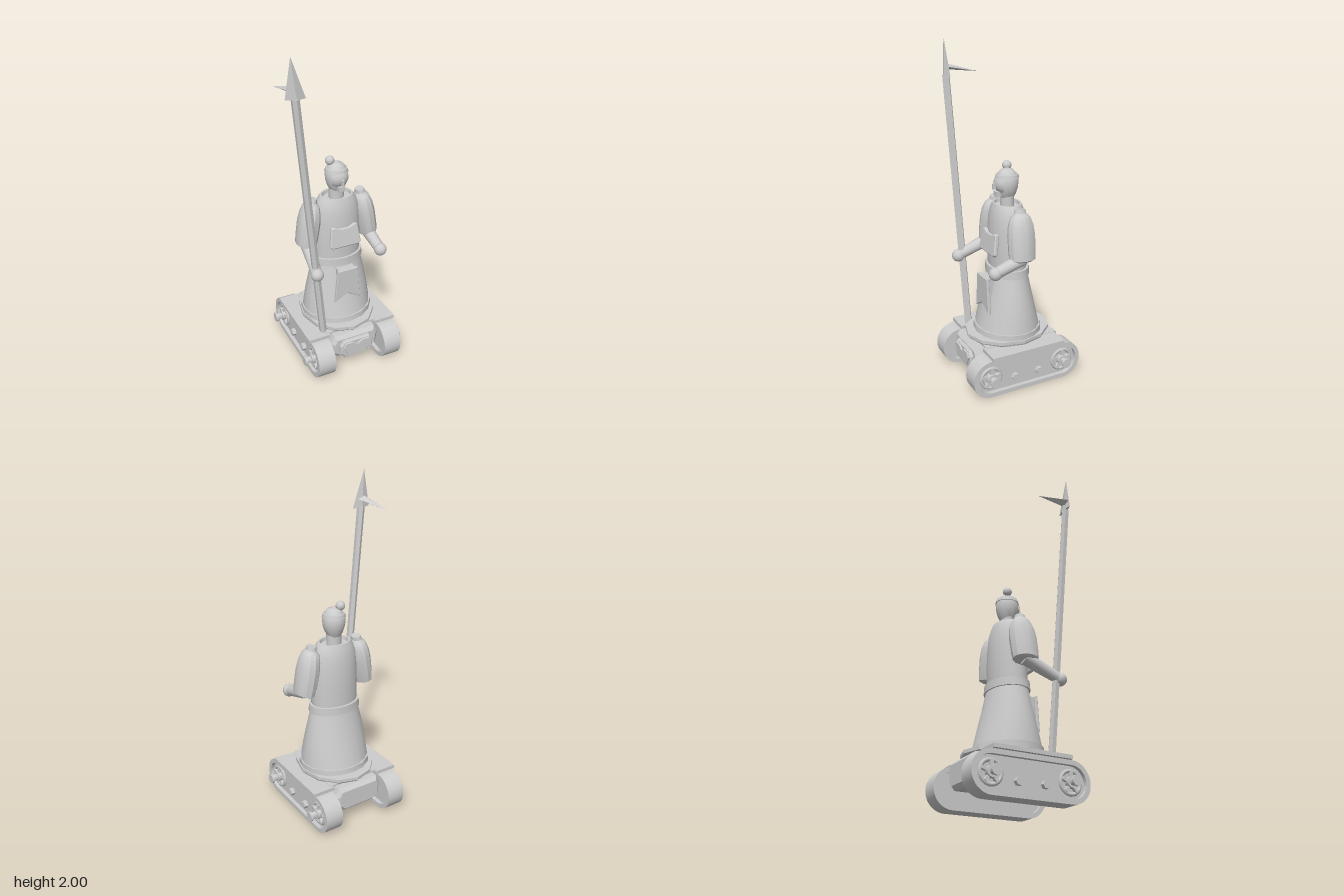
import * as THREE from 'three';
import { toCreasedNormals } from 'three/addons/utils/BufferGeometryUtils.js';

const CX = 0.03; // the figure's own centre line

export function createModel() {
  const stone = new THREE.MeshStandardMaterial({ color: 0xcccccc });
  stone.name = 'pale grey';
  const model = new THREE.Group();
  model.name = 'spearGuardOnTracks';
  const body = new THREE.Group();
  body.name = 'figure';
  body.position.x = CX;
  model.add(body);

  const add = (name, geo, x = 0, y = 0, z = 0, parent = body) => {
    const m = new THREE.Mesh(geo, stone);
    m.name = name;
    m.position.set(x, y, z);
    parent.add(m);
    return m;
  };

  // turned form with an elliptical section per row: [y, rx, rz]
  const loft = (rows, sides, crease = 0.6) => {
    const g = new THREE.LatheGeometry(rows.map(([y, rx]) => new THREE.Vector2(rx, y)), sides);
    const p = g.attributes.position;
    for (let i = 0; i < p.count; i++) {
      const [, rx, rz] = rows[i % rows.length];
      if (rx > 0) p.setZ(i, p.getZ(i) * rz / rx);
    }
    return toCreasedNormals(g, crease);
  };

  // flat outline with thickness, centred in depth
  const plate = (pts, depth, bevel = 0) => {
    const s = new THREE.Shape(pts.map(([x, y]) => new THREE.Vector2(x, y)));
    const g = new THREE.ExtrudeGeometry(s, {
      depth: depth - 2 * bevel, bevelEnabled: bevel > 0, bevelSize: bevel,
      bevelOffset: -bevel, bevelThickness: bevel, bevelSegments: 1,
    });
    return g.translate(0, 0, -depth / 2 + bevel);
  };

  // tapered rod between two points
  const rod = (name, a, b, ra, rb, sides, parent = body) => {
    const A = new THREE.Vector3(...a), B = new THREE.Vector3(...b);
    const dir = B.clone().sub(A);
    const g = toCreasedNormals(new THREE.CylinderGeometry(rb, ra, dir.length(), sides), sides > 8 ? 0.8 : 0.3);
    const m = add(name, g, 0, 0, 0, parent);
    m.position.copy(A).add(B).multiplyScalar(0.5);
    m.quaternion.setFromUnitVectors(new THREE.Vector3(0, 1, 0), dir.normalize());
    return m;
  };

  // rounded belt outline: two half circles joined by straights
  const stadium = (half, r, Type) => {
    const s = new Type();
    s.absarc(half, 0, r, -Math.PI / 2, Math.PI / 2, false);
    s.absarc(-half, 0, r, Math.PI / 2, Math.PI * 1.5, false);
    s.closePath();
    return s;
  };
  const sideways = (shape, depth) => toCreasedNormals(
    new THREE.ExtrudeGeometry(shape, { depth, bevelEnabled: false, curveSegments: 14 })
      .translate(0, 0, -depth / 2).rotateY(Math.PI / 2), 0.6);
  const axle = (r1, r2, len, sides) => toCreasedNormals(
    new THREE.CylinderGeometry(r1, r2, len, sides).rotateZ(Math.PI / 2), 0.6);

  // tracks with wheels, hubs and bolts
  const beltShape = stadium(0.237, 0.117, THREE.Shape);
  beltShape.holes.push(stadium(0.237, 0.09, THREE.Path));
  for (const s of [1, -1]) {
    const track = new THREE.Group();
    track.name = s > 0 ? 'leftTrack' : 'rightTrack';
    track.position.set(s * 0.2225, 0.117, 0);
    body.add(track);
    add('trackBelt', sideways(beltShape, 0.111), 0, 0, 0, track);
    add('trackSidePlate', sideways(stadium(0.237, 0.092, THREE.Shape), 0.062), 0, 0, 0, track);
    for (const z of [0.237, -0.237]) {
      add('wheelRim', new THREE.TorusGeometry(0.062, 0.011, 6, 24).rotateY(Math.PI / 2), s * 0.036, 0, z, track);
      for (let i = 0; i < 5; i++) {
        const spoke = add('wheelSpoke', new THREE.BoxGeometry(0.03, 0.06, 0.018).translate(0, 0.03, 0), s * 0.036, 0, z, track);
        spoke.rotation.x = i * Math.PI * 0.4;
      }
      add('wheelHub', axle(0.032, 0.032, 0.04, 12), s * 0.042, 0, z, track);
      add('axle', axle(0.02, 0.02, 0.07, 12), s * 0.065, 0, z, track);
      add('axleCap', axle(0.03, 0.03, 0.013, 12), s * 0.099, 0, z, track);
    }
    for (const z of [0.08, -0.08])
      add('bolt', axle(0.023, 0.023, 0.028, 6), s * 0.042, -0.03, z, track);
    add('trackGuard', new THREE.BoxGeometry(0.14, 0.022, 0.474), s * 0.222, 0.247, 0);
  }

  // chassis and its front panel
  const octagon = [[-0.11, 0.09], [0.11, 0.09], [0.15, 0.125], [0.16, 0.2], [0.135, 0.25], [-0.135, 0.25], [-0.16, 0.2], [-0.15, 0.125]];
  add('chassis', plate(octagon, 0.56, 0.022));
  add('chassisDeck', new THREE.BoxGeometry(0.34, 0.03, 0.44), 0, 0.246, 0);
  add('frontPanel', plate([[-0.08, 0.1], [0.08, 0.1], [0.11, 0.135], [0.11, 0.19], [0.085, 0.222], [-0.085, 0.222], [-0.11, 0.19], [-0.11, 0.135]], 0.03, 0.008), 0, 0, 0.285);
  add('frontCrest', plate([[-0.065, 0.12], [0.065, 0.12], [0.095, 0.18], [0.08, 0.21], [0.035, 0.21], [0, 0.19], [-0.035, 0.21], [-0.08, 0.21], [-0.095, 0.18]], 0.014, 0.003), 0, 0, 0.302);

  // round base, skirt and belt
  add('basePlate', loft([[0.255, 0, 0], [0.255, 0.225, 0.25], [0.268, 0.23, 0.263], [0.287, 0.23, 0.263], [0.287, 0, 0]], 12, 0.3));
  add('skirtHem', loft([[0.28, 0.222, 0.205], [0.32, 0.222, 0.2], [0.32, 0.2, 0.17]], 16));
  add('skirt', loft([[0.28, 0.217, 0.2], [0.36, 0.21, 0.18], [0.46, 0.196, 0.156], [0.56, 0.176, 0.132], [0.66, 0.152, 0.112]], 20, 0.8));
  add('belt', loft([[0.652, 0.14, 0.1], [0.652, 0.165, 0.122], [0.7, 0.162, 0.12], [0.7, 0.13, 0.095]], 20));

  // torso with raised collar
  add('torso', loft([[0.69, 0.148, 0.105], [0.8, 0.15, 0.108], [0.92, 0.146, 0.106], [1.0, 0.138, 0.1], [1.05, 0.122, 0.09], [1.08, 0.102, 0.08], [1.08, 0.09, 0.07], [1.06, 0.086, 0.066], [1.06, 0, 0]], 20, 0.7));

  // armour plates
  const chest = add('chestPlate', plate([[-0.085, -0.067], [0.085, -0.067], [0.1, -0.052], [0.085, 0.062], [0.065, 0.067], [0.03, 0.052], [-0.03, 0.052], [-0.065, 0.067], [-0.085, 0.062], [-0.1, -0.052]], 0.026, 0.006), 0, 0.853, 0.114);
  chest.rotation.x = -0.17;
  add('apronPlate', plate([[-0.085, 0.425], [-0.05, 0.445], [0, 0.475], [0.05, 0.445], [0.085, 0.425], [0.066, 0.645], [-0.066, 0.645]], 0.02, 0.004), 0, 0, 0.157);
  add('apronBacking', new THREE.BoxGeometry(0.11, 0.2, 0.05), 0, 0.54, 0.13);

  // neck, head, face and hair
  add('neck', loft([[1.05, 0.046, 0.04], [1.14, 0.046, 0.04]], 16));
  add('head', loft([[1.115, 0, 0], [1.115, 0.04, 0.042], [1.14, 0.054, 0.055], [1.175, 0.065, 0.065], [1.21, 0.068, 0.069], [1.245, 0.06, 0.061], [1.275, 0.036, 0.037], [1.287, 0, 0]], 18, 0.9));
  add('headband', loft([[1.228, 0.062, 0.063], [1.228, 0.07, 0.071], [1.25, 0.064, 0.065], [1.25, 0.056, 0.057]], 18));
  const face = toCreasedNormals(new THREE.SphereGeometry(0.07, 12, 8, Math.PI * 0.22, Math.PI * 0.56, Math.PI * 0.34, Math.PI * 0.42), 0.8);
  add('faceGuard', face.scale(1, 1.05, 1.12), 0, 1.2, 0);
  add('nose', new THREE.BoxGeometry(0.012, 0.035, 0.02), 0, 1.185, 0.083);
  add('beard', new THREE.BoxGeometry(0.04, 0.03, 0.035), 0, 1.14, 0.06);
  add('hairBun', new THREE.SphereGeometry(0.028, 12, 8), -0.034, 1.292, -0.017);

  // arms: padded sleeve, forearm and hand
  const hands = { '1': [0.207, 0.74, 0.18], '-1': [-0.225, 0.705, 0.218] };
  for (const s of [1, -1]) {
    const arm = new THREE.Group();
    arm.name = s > 0 ? 'leftArm' : 'rightArm';
    body.add(arm);
    const sleeve = add('sleeve', loft([[-0.15, 0, 0], [-0.15, 0.05, 0.06], [-0.142, 0.06, 0.078], [-0.1, 0.064, 0.082], [0, 0.067, 0.083], [0.06, 0.062, 0.076], [0.105, 0.049, 0.06], [0.128, 0.03, 0.037], [0.15, 0.027, 0.032], [0.15, 0, 0]], 12, 0.5),
      s * 0.179, 0.932, 0.002, arm);
    sleeve.rotation.set(-0.03, 0, s * 0.17);
    rod('forearm', [s * 0.2, 0.8, 0.0], hands[s], 0.04, 0.032, 12, arm);
    add('hand', new THREE.SphereGeometry(0.039, 12, 8), ...hands[s], arm);
  }

  // spear: shaft, flat blade and side hook
  const spear = new THREE.Group();
  spear.name = 'spear';
  model.add(spear);
  rod('spearShaft', [-0.142, 0.24, 0.18], [-0.306, 1.785, 0.222], 0.023, 0.023, 6, spear);
  const spike = (name, base, tip) => {
    // four-sided pyramid from a ring of base corners to a tip
    const pos = [];
    base.forEach((c, i) => pos.push(...c, ...base[(i + 1) % 4], ...tip));
    pos.push(...base[0], ...base[2], ...base[1], ...base[0], ...base[3], ...base[2]);
    const g = new THREE.BufferGeometry();
    g.setAttribute('position', new THREE.Float32BufferAttribute(pos, 3));
    g.computeVertexNormals();
    add(name, g, 0, 0, 0, spear);
  };
  spike('spearBlade', [[-0.36, 1.785, 0.218], [-0.303, 1.78, 0.236], [-0.246, 1.778, 0.218], [-0.303, 1.78, 0.204]], [-0.326, 2, 0.222]);
  spike('spearHook', [[-0.35, 1.833, 0.215], [-0.318, 1.815, 0.218], [-0.28, 1.832, 0.215], [-0.318, 1.85, 0.218]].reverse(), [-0.343, 1.79, 0.002]);

  return model;
}
